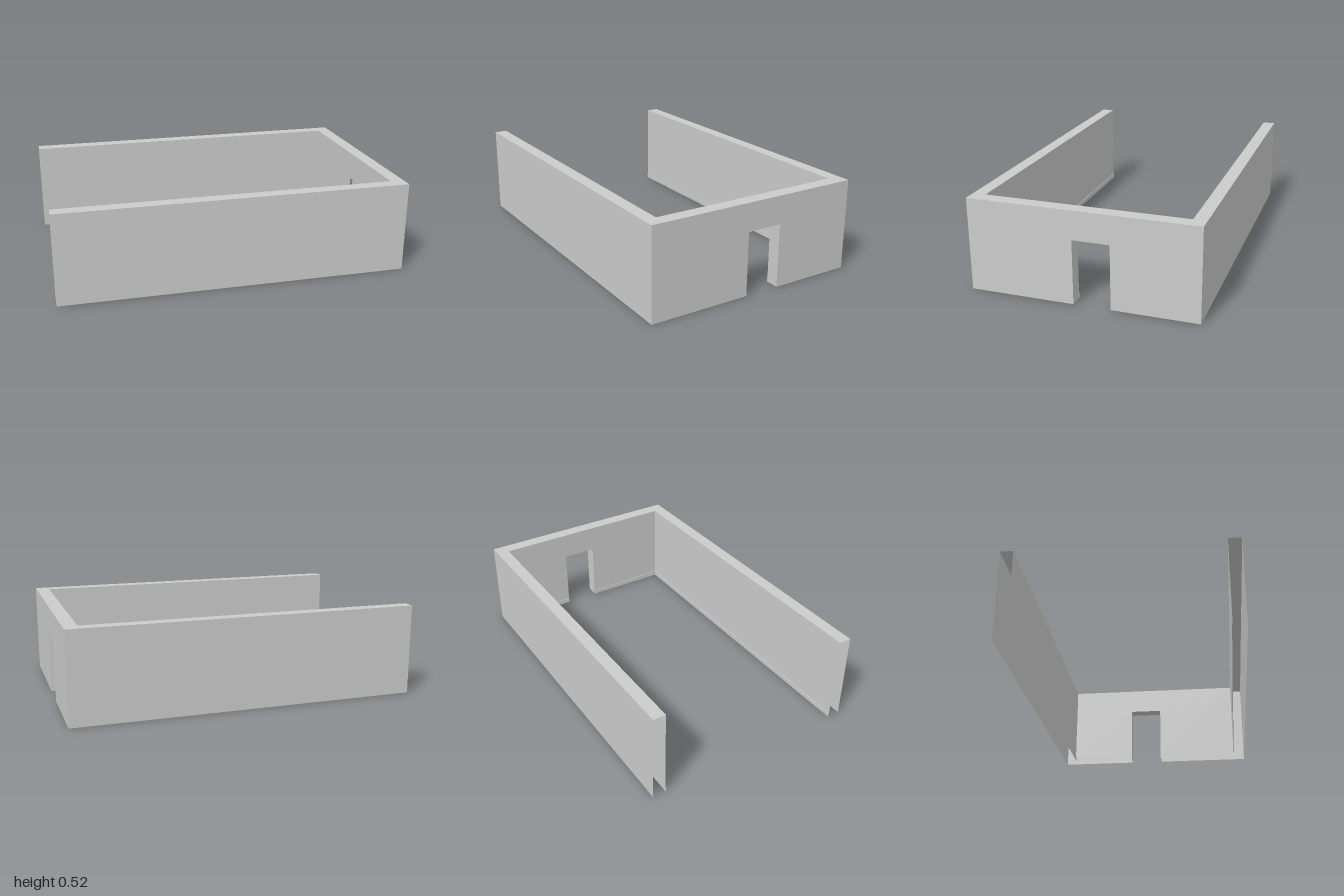
import * as THREE from 'three';

const material = new THREE.MeshStandardMaterial({ color: 0xcccccc, side: THREE.DoubleSide, flatShading: true });
const HEIGHT = 0.524, STRIP = 0.028, STEP = 0.004;
const DOOR = { z0: 0.048, z1: -0.158, top: 0.363 };

// Plan corners [x, z], running from the open front end round to the open back end
const outer = [[-0.995, 0.636], [1, 0.636], [0.993, -0.636], [-1, -0.636]];
const inner = [[-0.995, 0.563], [0.922, 0.563], [0.916, -0.563], [-1, -0.563]];
const strip = inner.map(([x, z], i) => [i === 1 || i === 2 ? x - STEP : x, z - Math.sign(z) * STEP]);

const lerp = (a, b, t) => a + (b - a) * t;
const xAt = (line, z) => lerp(line[1][0], line[2][0], (z - line[1][1]) / (line[2][1] - line[1][1]));

function createModel() {
  const model = new THREE.Group();

  function add(name, geometry) {
    geometry.computeVertexNormals();
    const mesh = new THREE.Mesh(geometry, material);
    mesh.name = name;
    model.add(mesh);
  }

  // Four-cornered thin surface
  function quad(name, ...corners) {
    const g = new THREE.BufferGeometry();
    g.setAttribute('position', new THREE.Float32BufferAttribute(corners.flat(), 3));
    g.setIndex([0, 1, 2, 0, 2, 3]);
    add(name, g);
  }

  // Upright skin between two plan points, optionally cut by the doorway
  function skin(name, a, b, y0, y1, hasDoor) {
    const pts = [[0, y0]];
    if (hasDoor) {
      const [u0, u1] = [DOOR.z0, DOOR.z1].map((z) => (z - a[1]) / (b[1] - a[1]));
      pts.push([u0, y0], [u0, DOOR.top], [u1, DOOR.top], [u1, y0]);
    }
    pts.push([1, y0], [1, y1], [0, y1]);
    const g = new THREE.ShapeGeometry(new THREE.Shape(pts.map((p) => new THREE.Vector2(...p))));
    const pos = g.attributes.position;
    for (let i = 0; i < pos.count; i++) {
      const u = pos.getX(i);
      pos.setXYZ(i, lerp(a[0], b[0], u), pos.getY(i), lerp(a[1], b[1], u));
    }
    add(name, g);
  }

  // Level band between two plan lines
  const band = (name, p, q, i, y) =>
    quad(name, ...[p[i], p[i + 1], q[i + 1], q[i]].map(([x, z]) => [x, y, z]));

  // Hollow walls: outer skin, inner skin, top, and the low strip inside
  ['frontWall', 'doorWall', 'backWall'].forEach((wall, i) => {
    const hasDoor = i === 1;
    skin(wall + 'Outside', outer[i], outer[i + 1], 0, HEIGHT, hasDoor);
    skin(wall + 'Inside', inner[i], inner[i + 1], STRIP, HEIGHT, hasDoor);
    band(wall + 'Top', outer, inner, i, HEIGHT);
    if (!hasDoor) {
      skin(wall + 'Strip', strip[i], strip[i + 1], 0, STRIP);
      band(wall + 'StripLedge', inner, strip, i, STRIP);
    }
  });

  // Door wall strip, broken by the doorway
  const sides = [[strip[1][1], DOOR.z0], [DOOR.z1, strip[2][1]]];
  for (const [za, zb] of sides) {
    const s = [za, zb].map((z) => [xAt(strip, z), z]);
    const n = [za, zb].map((z) => [xAt(inner, z), z]);
    skin('doorWallStrip', s[0], s[1], 0, STRIP);
    band('doorWallStripLedge', n, s, 0, STRIP);
  }

  // Doorway jambs and lintel
  for (const z of [DOOR.z0, DOOR.z1]) {
    skin('doorJamb', [xAt(inner, z), z], [xAt(outer, z), z], 0, DOOR.top);
  }
  const lintel = (line) => [DOOR.z0, DOOR.z1].map((z) => [xAt(line, z), z]);
  band('doorLintel', lintel(outer), lintel(inner), 0, DOOR.top);

  return model;
}

export { createModel };
